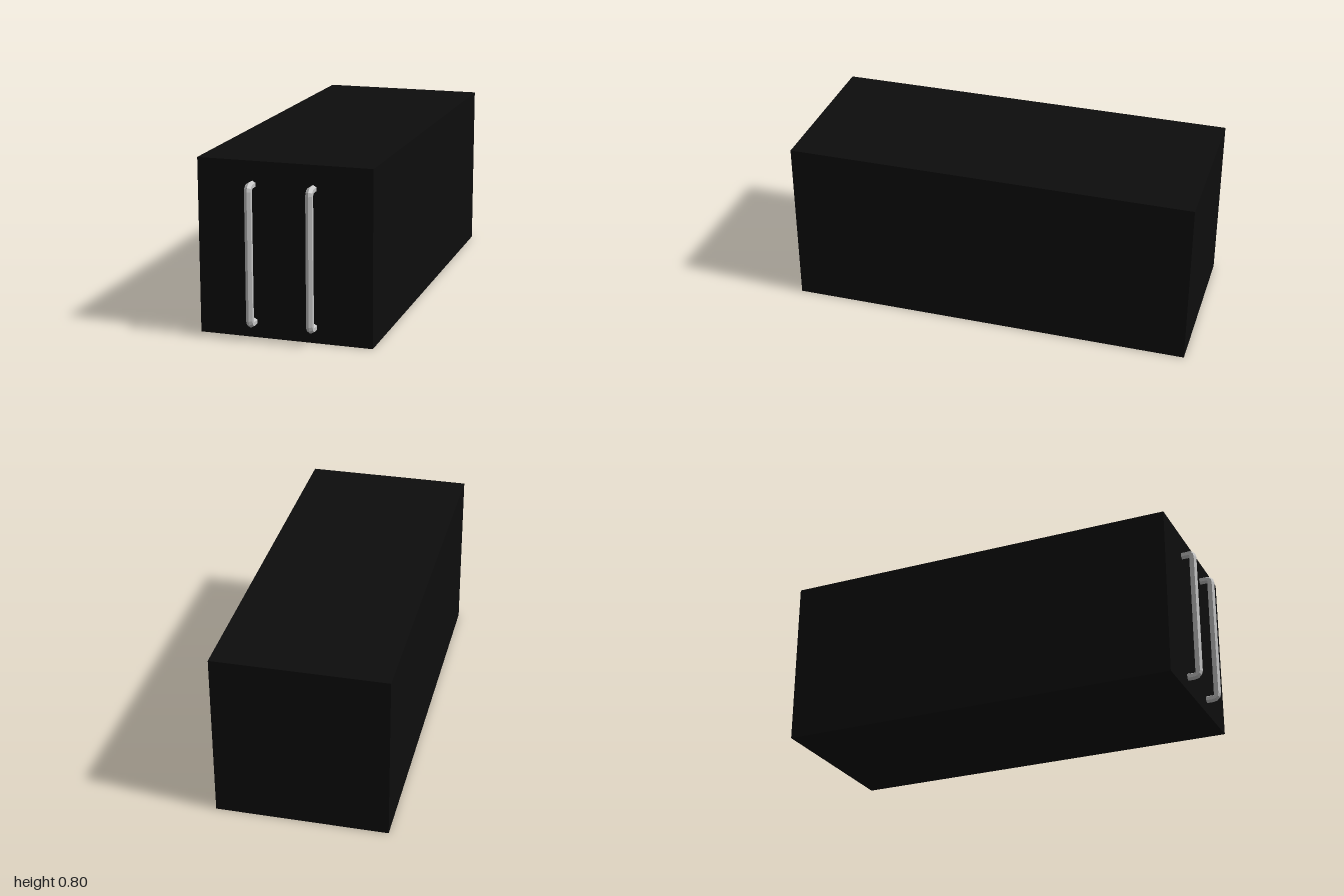
import * as THREE from 'three';

const FRONT = 0.93; // z of the front face
const R = 0.0175;   // hexagonal bar radius
const BEND = 0.02;  // bend radius of the bar's centre line
const SIDES = 6;

// Hexagonal bar swept along a C-shaped path in the yz plane, centred on x = 0
function handleGeometry(top, bottom, reach) {
  const rings = []; // each ring: centre (y, z) and angle of its outward normal
  const steps = 3;
  const z = reach - R - BEND;
  rings.push({ y: top, z: FRONT - 0.005, a: Math.PI / 2 });
  for (const [cy, from] of [[top - BEND, Math.PI / 2], [bottom + BEND, 0]]) {
    for (let i = 0; i <= steps; i++) {
      const a = from - (i / steps) * Math.PI / 2;
      rings.push({ y: cy + BEND * Math.sin(a), z: z + BEND * Math.cos(a), a });
    }
  }
  rings.push({ y: bottom, z: FRONT - 0.005, a: -Math.PI / 2 });

  const position = [];
  const index = [];
  rings.forEach(({ y, z, a }, i) => {
    for (let j = 0; j < SIDES; j++) {
      const t = (j / SIDES) * Math.PI * 2;
      const out = R * Math.cos(t);
      position.push(R * Math.sin(t), y + out * Math.sin(a), z + out * Math.cos(a));
      if (i === 0) continue;
      const k = (j + 1) % SIDES;
      const p = (i - 1) * SIDES, q = i * SIDES;
      index.push(p + j, q + j, p + k, p + k, q + j, q + k);
    }
  });
  const indexed = new THREE.BufferGeometry();
  indexed.setAttribute('position', new THREE.Float32BufferAttribute(position, 3));
  indexed.setIndex(index);
  const geometry = indexed.toNonIndexed(); // faceted sides
  geometry.computeVertexNormals();
  return geometry;
}

export function createModel() {
  const black = new THREE.MeshStandardMaterial({ color: 0x0d0d0d });
  black.name = 'black';
  const steel = new THREE.MeshStandardMaterial({ color: 0xc4c4c4 });
  steel.name = 'steel';

  const model = new THREE.Group();
  model.name = 'cabinet';

  // Solid cabinet body
  const body = new THREE.Mesh(new THREE.BoxGeometry(0.804, 0.804, FRONT + 1), black);
  body.name = 'body';
  body.position.set(0, 0.402, (FRONT - 1) / 2);
  model.add(body);

  // Two upright pull handles on the front
  const bar = handleGeometry(0.698, 0.073, 1);
  for (const [name, x] of [['rightHandle', -0.147], ['leftHandle', 0.132]]) {
    const handle = new THREE.Mesh(bar, steel);
    handle.name = name;
    handle.position.x = x;
    model.add(handle);
  }
  return model;
}
